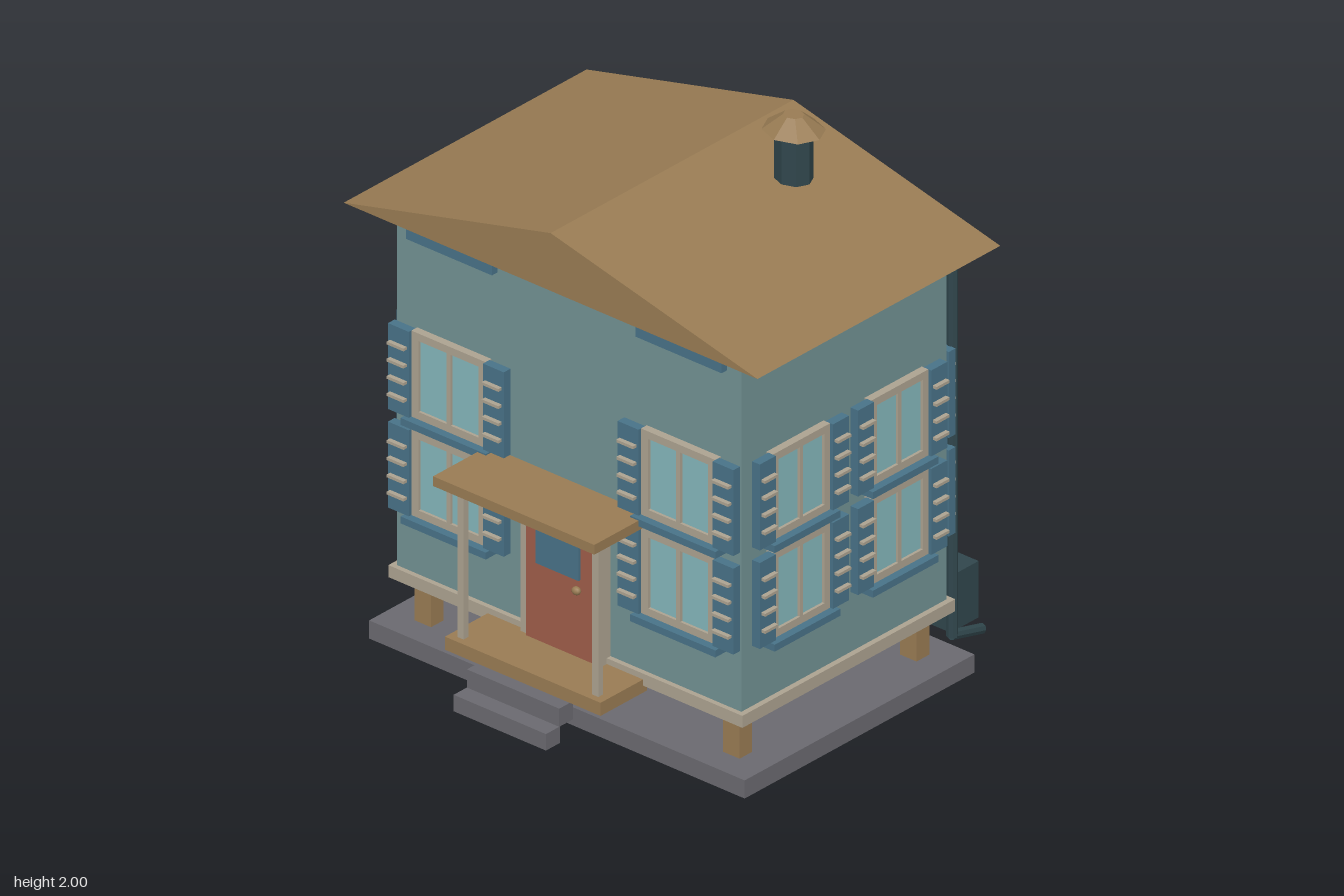
import * as THREE from 'three';

const mat = (name, color) => new THREE.MeshStandardMaterial({ name, color });

export function createModel() {
  const M = {
    wall: mat('wallTeal', 0x719192),
    wood: mat('brownWood', 0x987b53),
    trim: mat('creamTrim', 0xaca290),
    blue: mat('shutterBlue', 0x487287),
    glass: mat('paleGlass', 0x84b6ba),
    red: mat('brickRed', 0x9f5d4a),
    stone: mat('greyStone', 0x6a696f),
    dark: mat('darkMetal', 0x30464c),
    green: mat('leafGreen', 0x4f8a63),
  };
  const K = 0.875; // depth-to-width ratio of round and side parts
  const house = new THREE.Group();
  house.name = 'house';

  const add = (parent, name, geo, material, x = 0, y = 0, z = 0) => {
    const m = new THREE.Mesh(geo, material);
    m.name = name;
    m.position.set(x, y, z);
    parent.add(m);
    return m;
  };
  // Box given by its limits on each axis
  const box = (p, name, material, x0, x1, y0, y1, z0, z1) =>
    add(p, name, new THREE.BoxGeometry(x1 - x0, y1 - y0, z1 - z0), material,
      (x0 + x1) / 2, (y0 + y1) / 2, (z0 + z1) / 2);
  const group = (p, name) => {
    const g = new THREE.Group();
    g.name = name;
    p.add(g);
    return g;
  };
  const rect = (path, x0, x1, y0, y1) =>
    path.moveTo(x0, y0).lineTo(x1, y0).lineTo(x1, y1).lineTo(x0, y1).closePath();
  const faceted = (geo) => {
    const g = geo.toNonIndexed();
    g.computeVertexNormals();
    return g;
  };

  // Foundation, stilts, floor band and walls
  box(house, 'foundation', M.stone, -0.785, 0.785, 0, 0.065, -0.545, 0.545);
  for (const x of [-0.645, 0.645]) for (const z of [-0.42, 0.42])
    box(house, 'stilt', M.wood, x - 0.035, x + 0.035, 0.065, 0.22, z - 0.03, z + 0.03);
  box(house, 'floorBand', M.trim, -0.74, 0.74, 0.22, 0.263, -0.505, 0.505);
  box(house, 'walls', M.wall, -0.72, 0.72, 0.26, 1.546, -0.487, 0.487);

  // Gable roof, ridge running front to back
  const gable = new THREE.Shape();
  gable.moveTo(-0.865, 1.545).lineTo(0.865, 1.545).lineTo(0, 1.752).closePath();
  add(house, 'roof', new THREE.ExtrudeGeometry(gable, { depth: 1.152, bevelEnabled: false }),
    M.wood, 0, 0, -0.577);

  // Window with frame, panes, sill and louvred shutters
  const addWindow = (wall, cx, y0, k, wz) => {
    const w = group(wall, 'window');
    w.position.set(cx, y0, wz);
    const hw = 0.155 * k, h = 0.308, b = 0.03 * k, mull = 0.009 * k;
    const frame = new THREE.Shape();
    rect(frame, -hw, hw, 0, h);
    for (const [a, c] of [[-hw + b, -mull], [mull, hw - b]]) {
      const hole = new THREE.Path();
      rect(hole, a, c, 0.027, h - 0.027);
      frame.holes.push(hole);
    }
    add(w, 'windowFrame', new THREE.ExtrudeGeometry(frame, { depth: 0.028, bevelEnabled: false }), M.trim);
    box(w, 'windowGlass', M.glass, -hw + b / 2, hw - b / 2, 0.015, h - 0.015, 0, 0.018);
    box(w, 'windowSill', M.blue, -0.178 * k, 0.178 * k, -0.028, -0.003, 0, 0.053);
    for (const s of [-1, 1]) {
      const x = s * (hw + 0.0435 * k);
      box(w, 'shutter', M.blue, x - 0.0435 * k, x + 0.0435 * k, 0, h, 0.008, 0.04);
      for (let i = 0; i < 4; i++) {
        const y = h * (0.2 + 0.2 * i);
        box(w, 'shutterSlat', M.trim, x - 0.035 * k, x + 0.035 * k, y - 0.005, y + 0.005, 0.035, 0.056);
      }
    }
  };

  // Windows and eave vents on all four walls
  const makeWall = (name, angle, cx, k, wz) => {
    const wall = group(house, name);
    wall.rotation.y = angle;
    for (const s of [-1, 1]) {
      for (const y of [0.485, 0.838]) addWindow(wall, s * cx, y, k, wz);
      box(wall, 'eaveVent', M.blue, s * cx - 0.18 * k, s * cx + 0.18 * k, 1.465, 1.505, wz, wz + 0.026);
    }
    return wall;
  };
  makeWall('leftWall', Math.PI / 2, 0.233, K, 0.72);
  makeWall('rightWall', -Math.PI / 2, 0.233, K, 0.72);

  for (const [name, angle] of [['frontWall', 0], ['backWall', Math.PI]]) {
    const wall = makeWall(name, angle, 0.48, 1, 0.487);
    // Door
    const door = group(wall, 'door');
    box(door, 'doorFrame', M.trim, -0.173, 0.173, 0.24, 0.78, 0.48, 0.522);
    box(door, 'doorPanel', M.red, -0.138, 0.138, 0.245, 0.742, 0.5, 0.536);
    box(door, 'doorWindow', M.blue, -0.09, 0.09, 0.525, 0.652, 0.536, 0.545);
    const knob = add(door, 'doorKnob', new THREE.SphereGeometry(0.017, 10, 8), M.wood, 0.09, 0.495, 0.555);
    knob.scale.set(1, 0.85, 0.8);
    // Porch and steps
    const porch = group(wall, 'porch');
    box(porch, 'porchFloor', M.wood, -0.325, 0.325, 0.195, 0.242, 0.487, 0.707);
    box(porch, 'porchRoof', M.wood, -0.337, 0.337, 0.795, 0.83, 0.485, 0.75);
    for (const s of [-1, 1])
      box(porch, 'porchPost', M.trim, s * 0.282 - 0.013, s * 0.282 + 0.013, 0.24, 0.797, 0.66, 0.683);
    box(porch, 'upperStep', M.stone, -0.193, 0.193, 0.127, 0.192, 0.688, 0.753);
    box(porch, 'lowerStep', M.stone, -0.193, 0.193, 0.068, 0.127, 0.75, 0.816);
  }

  // Chimney pipe and cap
  const chimney = group(house, 'chimney');
  chimney.position.set(0.358, 0, -0.172);
  chimney.scale.z = K;
  add(chimney, 'chimneyPipe', faceted(new THREE.CylinderGeometry(0.066, 0.066, 0.175, 8)), M.dark, 0, 1.859, 0);
  add(chimney, 'chimneyCap', faceted(new THREE.CylinderGeometry(0.036, 0.108, 0.054, 8)), M.wood, 0, 1.973, 0);

  // Downspout at the back corner with a spout at its foot
  const pipe = group(house, 'downspout');
  const shaft = add(pipe, 'downspoutShaft', faceted(new THREE.CylinderGeometry(0.02, 0.02, 1.45, 8)), M.dark, 0.695, 0.825, -0.541);
  shaft.scale.z = K;
  const spout = add(pipe, 'downspoutFoot', faceted(new THREE.CylinderGeometry(0.018, 0.018, 0.15, 8)), M.dark, 0.695, 0.087, -0.61);
  spout.rotation.x = -Math.PI / 2 - 0.25;

  // Outdoor cooling unit with a slatted grille
  const unit = group(house, 'coolingUnit');
  box(unit, 'unitBody', M.dark, 0.405, 0.672, 0.095, 0.297, -0.693, -0.56);
  for (let i = 0; i < 5; i++) {
    const y = 0.127 + i * 0.034;
    box(unit, 'unitSlat', M.dark, 0.43, 0.647, y - 0.007, y + 0.007, -0.705, -0.69);
  }

  // Planter box with three flowers
  const planter = group(house, 'planter');
  box(planter, 'planterBase', M.wood, -0.727, -0.367, 0.062, 0.16, -0.74, -0.53);
  for (const z of [-0.733, -0.537])
    box(planter, 'planterRim', M.wood, -0.727, -0.367, 0.16, 0.178, z - 0.007, z + 0.007);
  for (const x of [-0.718, -0.376])
    box(planter, 'planterRim', M.wood, x - 0.009, x + 0.009, 0.16, 0.178, -0.727, -0.543);
  for (const x of [-0.655, -0.549, -0.443]) {
    const flower = group(planter, 'flower');
    flower.position.set(x, 0, -0.635);
    flower.scale.z = K;
    add(flower, 'leaves', faceted(new THREE.SphereGeometry(0.056, 8, 4)), M.green, 0, 0.225, 0);
    add(flower, 'blossom', faceted(new THREE.SphereGeometry(0.034, 6, 4)), M.red, 0, 0.288, 0);
  }
  return house;
}
